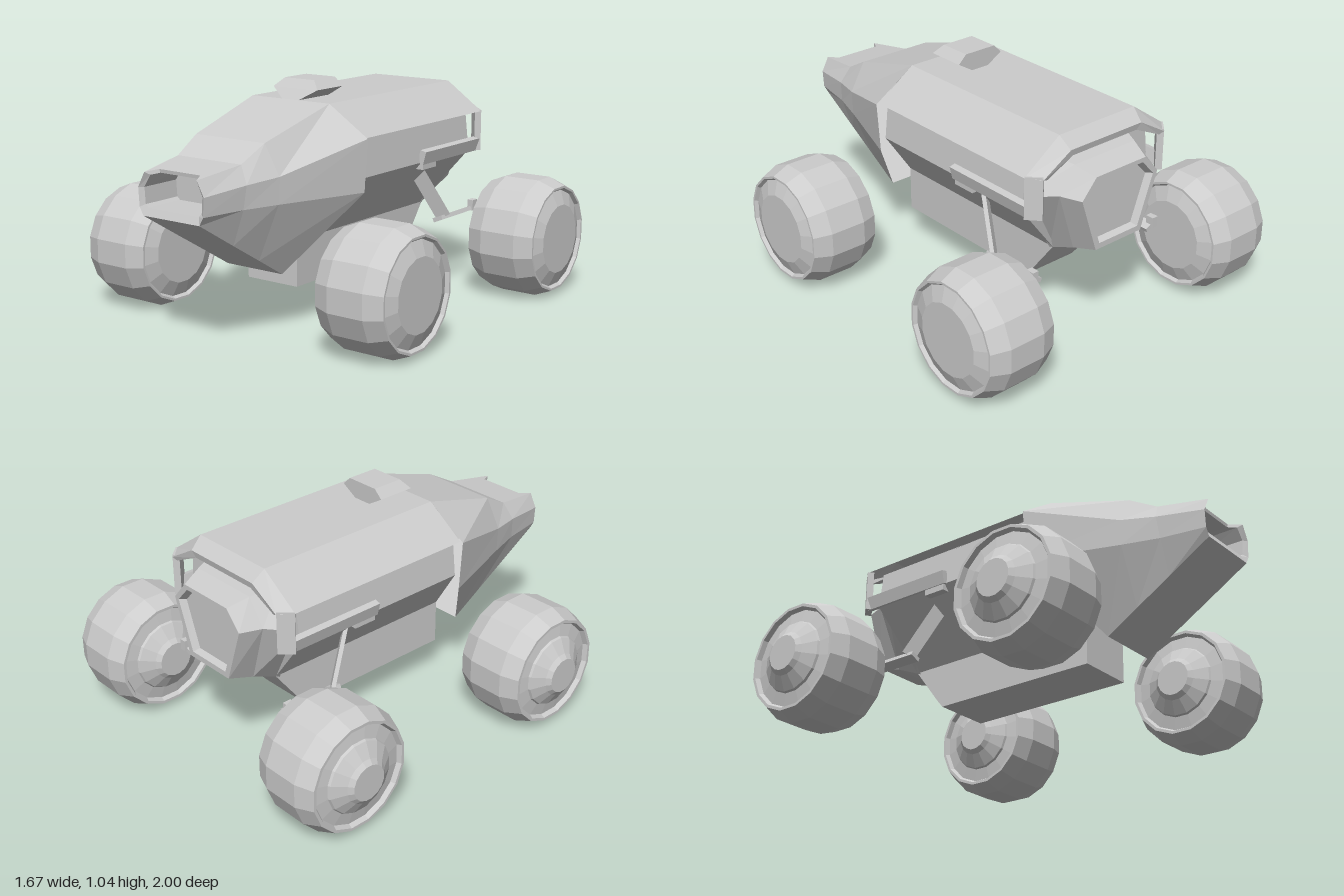
import * as THREE from 'three';

const material = new THREE.MeshStandardMaterial({ color: 0xcccccc, flatShading: true, side: THREE.DoubleSide });

function add(parent, name, geometry) {
  const mesh = new THREE.Mesh(geometry, material);
  mesh.name = name;
  parent.add(mesh);
  return mesh;
}

// Skins mirrored cross-sections. Each section lists [halfWidth, y, z] from top to bottom.
function loft(sections, { capBack = false, capFront = false, openBottom = false } = {}) {
  const rings = sections.map(s => [...s, ...s.slice().reverse().map(([x, y, z]) => [-x, y, z])]);
  const n = rings[0].length, pos = [];
  for (let i = 0; i < rings.length - 1; i++) {
    for (let j = 0; j < n; j++) {
      if (openBottom && j === n / 2 - 1) continue;
      const k = (j + 1) % n;
      const a = rings[i][j], b = rings[i][k], c = rings[i + 1][k], d = rings[i + 1][j];
      pos.push(...a, ...d, ...c, ...a, ...c, ...b);
    }
  }
  // Caps are strips between the mirrored halves
  const cap = (r, front) => {
    for (let j = 0; j < n / 2 - 1; j++) {
      const a = r[j], b = r[j + 1], c = r[n - 2 - j], d = r[n - 1 - j];
      pos.push(...(front ? [a, d, c, a, c, b] : [a, c, d, a, b, c]).flat());
    }
  };
  if (capBack) cap(rings[0], false);
  if (capFront) cap(rings[rings.length - 1], true);
  const g = new THREE.BufferGeometry();
  g.setAttribute('position', new THREE.Float32BufferAttribute(pos, 3));
  g.computeVertexNormals();
  return g;
}

function box(parent, name, size, at) {
  const mesh = add(parent, name, new THREE.BoxGeometry(...size));
  mesh.position.set(...at);
  return mesh;
}

function beam(parent, name, from, to, width, depth) {
  const a = new THREE.Vector3(...from), b = new THREE.Vector3(...to);
  const mesh = box(parent, name, [width, a.distanceTo(b), depth], a.clone().add(b).multiplyScalar(0.5).toArray());
  mesh.quaternion.setFromUnitVectors(new THREE.Vector3(0, 1, 0), b.sub(a).normalize());
}

export function createModel() {
  const model = new THREE.Group();
  model.name = 'rover';
  const body = new THREE.Group();
  body.name = 'body';
  body.position.x = 0.02;
  model.add(body);

  // Faceted front shell with an open, rimmed nose
  add(body, 'frontShell', loft([
    [[0.12, 0.96, 0.24], [0.21, 0.96, 0.24], [0.41, 0.83, 0.24], [0.395, 0.6, 0.24], [0.15, 0.26, 0.49]],
    [[0.12, 0.845, 0.64], [0.185, 0.845, 0.64], [0.26, 0.715, 0.64], [0.255, 0.6, 0.64], [0.15, 0.35, 0.64]],
    [[0.12, 0.775, 0.77], [0.17, 0.775, 0.77], [0.215, 0.7, 0.79], [0.205, 0.6, 0.8], [0.15, 0.445, 0.8]],
    [[0.11, 0.752, 0.945], [0.14, 0.745, 1], [0.175, 0.68, 1], [0.17, 0.6, 1], [0.15, 0.565, 1]],
    [[0.105, 0.737, 0.943], [0.125, 0.732, 0.98], [0.155, 0.68, 0.985], [0.15, 0.61, 0.985], [0.135, 0.597, 0.985]],
    [[0.105, 0.735, 0.8], [0.125, 0.73, 0.8], [0.155, 0.68, 0.8], [0.15, 0.61, 0.8], [0.135, 0.597, 0.8]],
  ], { capFront: true }));

  // Hull with side walls, narrow keel and a rising tail
  add(body, 'hull', loft([
    [[0.34, 0.825, -0.65], [0.36, 0.65, -0.65], [0.135, 0.38, -0.6], [0.135, 0.21, -0.47], [0.135, 0.175, -0.44]],
    [[0.34, 0.825, 0.25], [0.36, 0.65, 0.25], [0.135, 0.38, 0.37], [0.135, 0.21, 0.37], [0.135, 0.175, 0.37]],
  ], { capBack: true, capFront: true }));

  // Thin roof with a bevelled rear edge, open underneath
  add(body, 'roof', loft([
    [[0.18, 0.92, 0.24], [0.36, 0.825, 0.24]],
    [[0.18, 0.88, -0.75], [0.32, 0.815, -0.75]],
    [[0.2, 0.91, -0.757], [0.345, 0.825, -0.757]],
    [[0.21, 0.96, -0.7], [0.395, 0.83, -0.7]],
    [[0.21, 0.96, 0.24], [0.395, 0.83, 0.24]],
  ], { openBottom: true }));

  // Six-sided rear pod with a recessed hatch
  add(body, 'rearPod', loft([
    [[0.115, 0.775, -0.815], [0.175, 0.71, -0.815], [0.1, 0.505, -0.815]],
    [[0.125, 0.785, -0.845], [0.19, 0.715, -0.845], [0.11, 0.495, -0.845]],
    [[0.14, 0.805, -0.845], [0.215, 0.72, -0.845], [0.13, 0.47, -0.845]],
    [[0.17, 0.835, -0.75], [0.25, 0.72, -0.75], [0.135, 0.43, -0.72]],
    [[0.21, 0.86, -0.63], [0.345, 0.7, -0.63], [0.135, 0.37, -0.58]],
  ], { capBack: true }));

  // Roof hatch
  add(body, 'roofHatch', loft([
    [[0.08, 1.043, 0.025], [0.12, 1.005, 0.025], [0.045, 0.96, 0.025]],
    [[0.08, 1.043, 0.175], [0.12, 1.005, 0.205], [0.045, 0.96, 0.24]],
  ], { capBack: true, capFront: true }));

  // Rear frame and trailing arms on both sides
  for (const s of [-1, 1]) {
    const post = box(body, 'rearFramePost', [0.03, 0.19, 0.075], [s * 0.359, 0.74, -0.718]);
    post.rotation.y = s * 0.74;
    const rail = box(body, 'sideRail', [0.03, 0.06, 0.47], [s * 0.37, 0.676, -0.47]);
    rail.rotation.z = -s * 0.25;
    box(body, 'railBracket', [0.11, 0.035, 0.11], [s * 0.315, 0.635, -0.3]);
    beam(body, 'trailingArm', [s * 0.265, 0.65, -0.295], [s * 0.345, 0.36, -0.465], 0.018, 0.065);
    const foot = box(body, 'armFoot', [0.05, 0.02, 0.29], [s * 0.335, 0.353, -0.575]);
    foot.rotation.z = s * 0.4;
    box(body, 'axleStub', [0.03, 0.05, 0.04], [s * 0.352, 0.375, -0.71]);
  }

  // Four identical wheels, hubs all facing the same way
  const profile = [
    [0, -0.218], [0.08, -0.218], [0.1, -0.2], [0.16, -0.165], [0.165, -0.155], [0.222, -0.145],
    [0.232, -0.165], [0.245, -0.165], [0.277, -0.085], [0.277, 0.085], [0.245, 0.165],
    [0.235, 0.165], [0.225, 0.15], [0.16, 0.176], [0, 0.176],
  ].map(p => new THREE.Vector2(...p));
  const wheel = new THREE.LatheGeometry(profile, 16, Math.PI / 16);
  wheel.rotateZ(-Math.PI / 2);
  for (const x of [-0.615, 0.657]) {
    for (const z of [0.4425, -0.726]) {
      add(model, z > 0 ? 'frontWheel' : 'rearWheel', wheel).position.set(x, 0.272, z);
    }
  }
  return model;
}
